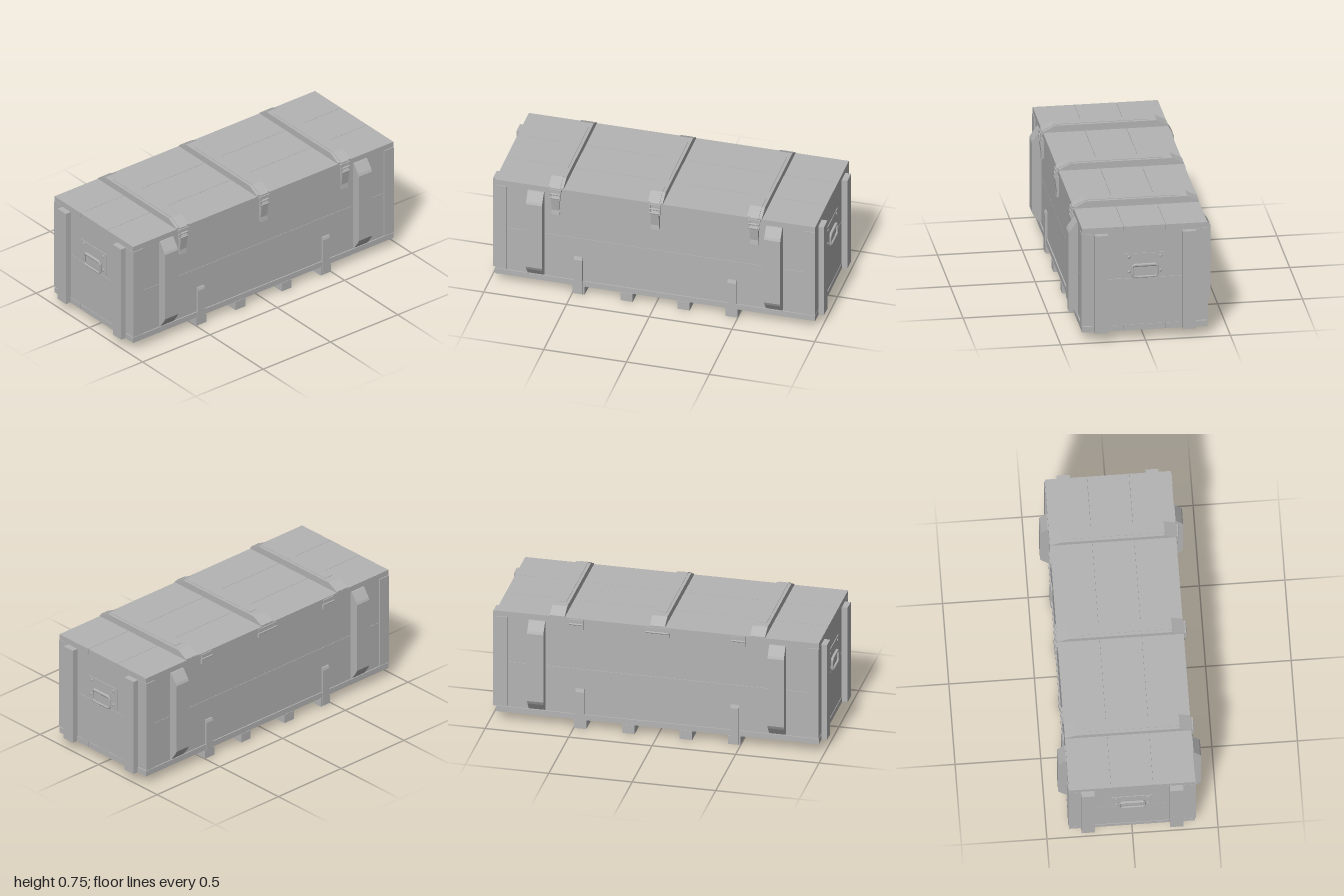
import * as THREE from 'three';

export function createModel() {
  const grey = new THREE.MeshStandardMaterial({ color: 0xb4b4b4 });
  grey.name = 'plain grey';
  const root = new THREE.Group();
  root.name = 'crate';

  const add = (parent, name, geometry) => {
    const mesh = new THREE.Mesh(geometry, grey);
    mesh.name = name;
    parent.add(mesh);
    return mesh;
  };
  // Box given by its limits on each axis
  const box = (parent, name, x0, x1, y0, y1, z0, z1) => {
    const mesh = add(parent, name, new THREE.BoxGeometry(x1 - x0, y1 - y0, z1 - z0));
    mesh.position.set((x0 + x1) / 2, (y0 + y1) / 2, (z0 + z1) / 2);
    return mesh;
  };
  // Profile of [z, y] points, extruded along x around a centre
  const profile = (parent, name, points, x, width) => {
    const shape = new THREE.Shape(points.map(([z, y]) => new THREE.Vector2(z, y)));
    const geometry = new THREE.ExtrudeGeometry(shape, { depth: width, bevelEnabled: false });
    geometry.translate(0, 0, -width / 2).rotateY(-Math.PI / 2);
    const mesh = add(parent, name, geometry);
    mesh.position.x = x;
    return mesh;
  };

  // Floor and lid, three boards each
  const seams = [-0.37, -0.123, 0.123, 0.37];
  for (let i = 0; i < 3; i++) {
    const z0 = seams[i] + 0.001, z1 = seams[i + 1] - 0.001;
    box(root, 'floorBoard', -0.967, 0.967, 0.055, 0.09, z0, z1);
    box(root, 'lidBoard', -0.967, 0.967, 0.672, 0.706, z0, z1);
  }

  // Skids under the floor
  for (const x of [-0.462, -0.172, 0.172, 0.462])
    box(root, 'skid', x - 0.037, x + 0.037, 0, 0.055, -0.372, 0.372);

  // Long sides, built once and turned round for the back
  for (const turn of [0, Math.PI]) {
    const side = new THREE.Group();
    side.name = turn ? 'backSide' : 'frontSide';
    side.rotation.y = turn;
    root.add(side);
    box(side, 'lowerPlank', -0.9, 0.9, 0.09, 0.379, 0.325, 0.362);
    box(side, 'upperPlank', -0.9, 0.9, 0.381, 0.672, 0.325, 0.362);
    for (const s of [-1, 1]) {
      const post = box(side, 'cornerPost', -0.035, 0.035, 0.095, 0.67, 0.3, 0.372);
      post.position.x = s * 0.932;
      // Thick brace with tapered ends
      profile(side, 'brace', [[0.35, 0.098], [0.374, 0.098], [0.408, 0.145], [0.418, 0.165],
        [0.418, 0.6], [0.411, 0.615], [0.374, 0.668], [0.35, 0.668]], s * 0.72, 0.098);
      // Metal bracket rising from the outer skid
      profile(side, 'skidBracket', [[0.35, 0.003], [0.376, 0.003], [0.376, 0.235],
        [0.37, 0.253], [0.35, 0.253]], s * 0.464, 0.05);
    }
  }

  // Short ends with battens, plate and handle
  for (const turn of [0, Math.PI]) {
    const end = new THREE.Group();
    end.name = turn ? 'rightEnd' : 'leftEnd';
    end.rotation.y = turn;
    root.add(end);
    box(end, 'lowerEndPlank', 0.92, 0.964, 0.09, 0.379, -0.3, 0.3);
    box(end, 'upperEndPlank', 0.92, 0.964, 0.381, 0.672, -0.3, 0.3);
    for (const s of [-1, 1]) {
      const batten = box(end, 'endBatten', 0.96, 1, 0.056, 0.667, -0.039, 0.039);
      batten.position.z = s * 0.259;
    }
    box(end, 'handlePlate', 0.963, 0.968, 0.395, 0.535, -0.122, 0.122);
    for (const z of [-0.093, 0.093]) for (const y of [0.422, 0.514]) {
      const rivet = add(end, 'rivet', new THREE.SphereGeometry(0.009, 10, 6));
      rivet.scale.x = 0.6;
      rivet.position.set(0.968, y, z);
    }
    // Rounded rectangular grip loop
    const loop = new THREE.CurvePath(), w = 0.073, lo = 0.391, hi = 0.466, r = 0.02;
    const p = (z, y) => new THREE.Vector3(0.977, y, z);
    const corners = [[-w, lo], [w, lo], [w, hi], [-w, hi]];
    const toward = (a, b) => a + Math.sign(b - a) * r;
    corners.forEach((c, i) => {
      const before = corners[(i + 3) % 4], next = corners[(i + 1) % 4];
      const start = p(toward(c[0], before[0]), toward(c[1], before[1]));
      const finish = p(toward(c[0], next[0]), toward(c[1], next[1]));
      loop.add(new THREE.QuadraticBezierCurve3(start, p(...c), finish));
      loop.add(new THREE.LineCurve3(finish, p(toward(next[0], c[0]), toward(next[1], c[1]))));
    });
    add(end, 'handleGrip', new THREE.TubeGeometry(loop, 64, 0.0065, 8, true));
    const hinge = add(end, 'handleHinge', new THREE.CylinderGeometry(0.01, 0.01, 0.124, 12));
    hinge.rotation.x = Math.PI / 2;
    hinge.position.set(0.974, 0.463, 0);
  }

  // Lid ribs with metal straps and latches
  for (const x of [-0.6, 0, 0.6]) {
    profile(root, 'lidRib', [[-0.368, 0.7], [0.368, 0.7], [0.368, 0.712], [0.3, 0.747],
      [-0.3, 0.747], [-0.368, 0.712]], x, 0.09);
    profile(root, 'lidStrap', [[-0.25, 0.746], [0.3, 0.746], [0.372, 0.709], [0.372, 0.68],
      [0.377, 0.68], [0.377, 0.712], [0.302, 0.75], [-0.25, 0.75]], x, 0.054);
    const latch = new THREE.Group();
    latch.name = 'latch';
    latch.position.x = x;
    root.add(latch);
    box(latch, 'latchCatch', -0.036, 0.036, 0.69, 0.703, 0.37, 0.383);
    box(latch, 'latchBasePlate', -0.026, 0.026, 0.54, 0.665, 0.36, 0.366);
    for (const s of [-1, 1])
      box(latch, 'latchLink', s * 0.028 - 0.005, s * 0.028 + 0.005, 0.635, 0.7, 0.374, 0.384);
    for (const y of [0.645, 0.672]) {
      const pin = add(latch, 'latchPin', new THREE.CylinderGeometry(0.007, 0.007, 0.066, 10));
      pin.rotation.z = Math.PI / 2;
      pin.position.set(0, y, 0.38);
    }
    profile(latch, 'latchLever', [[0.364, 0.535], [0.378, 0.53], [0.374, 0.56], [0.386, 0.645],
      [0.38, 0.66], [0.364, 0.66]], 0, 0.05);
  }

  // Back hinges, the middle one wider
  for (const [x, half] of [[-0.485, 0.042], [0, 0.07], [0.485, 0.042]]) {
    box(root, 'hingeLeaf', x - half, x + half, 0.64, 0.7, -0.375, -0.36);
    const pin = add(root, 'hingePin', new THREE.CylinderGeometry(0.006, 0.006, half * 2, 10));
    pin.rotation.z = Math.PI / 2;
    pin.position.set(x, 0.671, -0.374);
  }
  return root;
}
